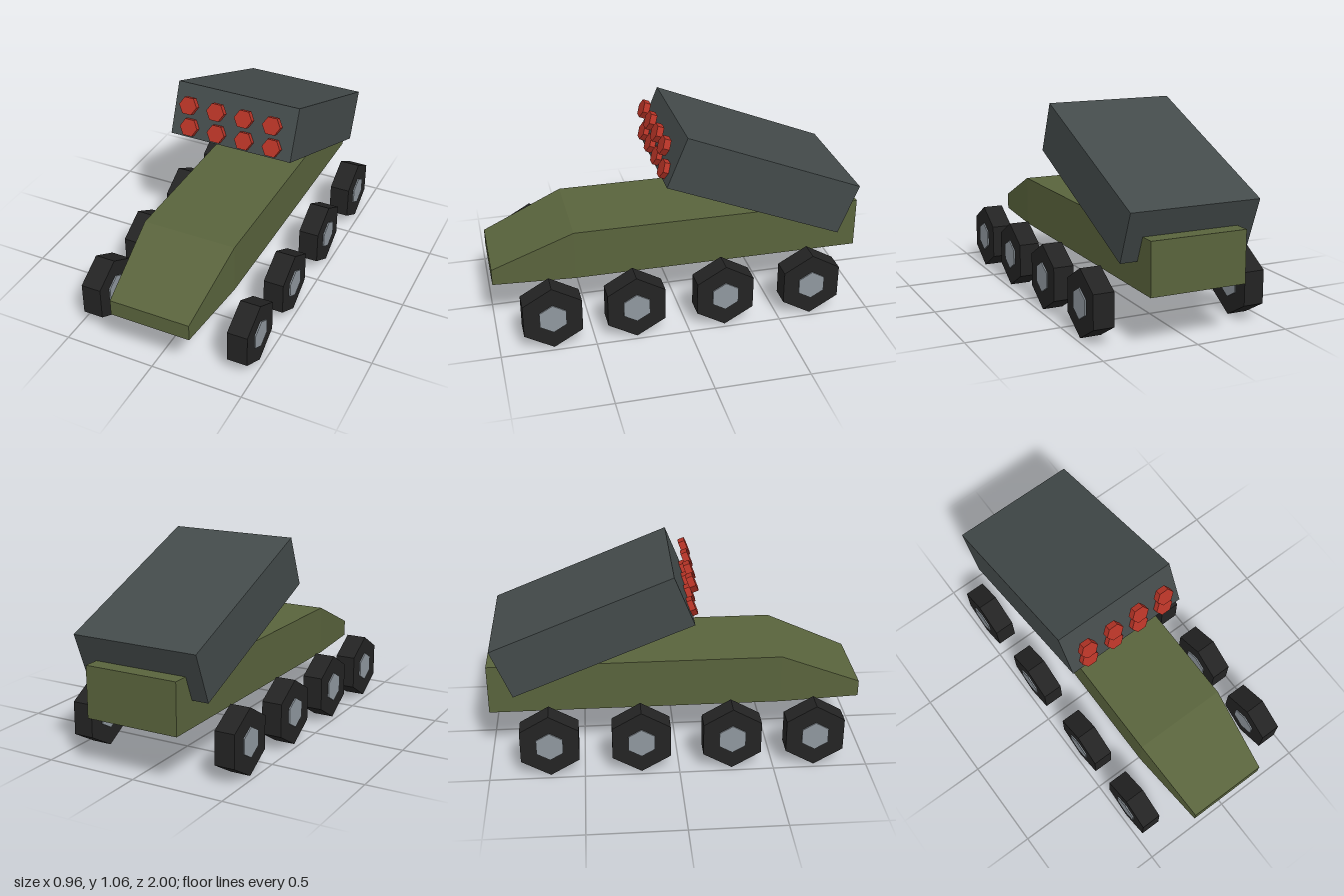
import * as THREE from 'three';

const material = (name, color) => {
  const m = new THREE.MeshStandardMaterial({ color });
  m.name = name;
  return m;
};

// Faceted normals for the low-poly look
function faceted(geometry) {
  const g = geometry.toNonIndexed();
  g.computeVertexNormals();
  return g;
}

// Hull: a box with one extra cross-section, tapered and lowered at the nose
function hullGeometry() {
  const sections = {
    '-1': { z: -1, halfWidth: 0.257, bottom: 0.268, top: 0.54 },
    '0': { z: 0.565, halfWidth: 0.257, bottom: 0.268, top: 0.54 },
    '1': { z: 1, halfWidth: 0.22, bottom: 0.265, top: 0.354 },
  };
  const g = new THREE.BoxGeometry(2, 2, 2, 1, 1, 2);
  const p = g.attributes.position;
  for (let i = 0; i < p.count; i++) {
    const s = sections[String(Math.round(p.getZ(i)))];
    p.setXYZ(i, p.getX(i) * s.halfWidth, p.getY(i) > 0 ? s.top : s.bottom, s.z);
  }
  return faceted(g);
}

export function createModel() {
  const model = new THREE.Group();
  model.name = 'rocketTruck';

  const green = material('olive green', 0x59633c);
  const grey = material('dark slate', 0x434a4a);
  const black = material('tyre black', 0x232323);
  const silver = material('hub grey', 0x8f979e);
  const red = material('rocket red', 0xb43326);

  const add = (name, geometry, mat, parent = model) => {
    const mesh = new THREE.Mesh(geometry, mat);
    mesh.name = name;
    parent.add(mesh);
    return mesh;
  };

  add('hull', hullGeometry(), green);

  // Tilted launcher box
  const tilt = THREE.MathUtils.degToRad(-22);
  const launcher = add('launcherBox', new THREE.BoxGeometry(0.696, 0.288, 1.025), grey);
  launcher.position.set(0, 0.733, -0.44);
  launcher.rotation.x = tilt;

  // Two rows of four hexagonal rocket tips, stacked vertically
  const tip = faceted(new THREE.CylinderGeometry(0.051, 0.051, 0.036, 6, 1, false, Math.PI / 6)
    .rotateX(Math.PI / 2));
  for (const y of [0.849, 0.982]) {
    for (const x of [-0.24, -0.08, 0.08, 0.24]) {
      const rocket = add('rocketTip', tip, red);
      rocket.position.set(x, y, 0.079);
      rocket.rotation.x = tilt;
    }
  }

  // Hexagonal wheels with a corner pointing up; hubs show on both faces
  const disc = (radius, width) => faceted(
    new THREE.CylinderGeometry(radius, radius, width, 6, 1, false, Math.PI / 2)
      .rotateZ(Math.PI / 2));
  const tyre = disc(0.177, 0.11);
  const hub = disc(0.08, 0.124);
  for (const side of [-1, 1]) {
    for (const z of [0.72, 0.28, -0.2, -0.68]) {
      const wheel = new THREE.Group();
      wheel.name = side > 0 ? 'leftWheel' : 'rightWheel';
      wheel.position.set(side * 0.418, 0.177, z);
      add('tyre', tyre, black, wheel);
      add('hub', hub, silver, wheel);
      model.add(wheel);
    }
  }

  return model;
}
